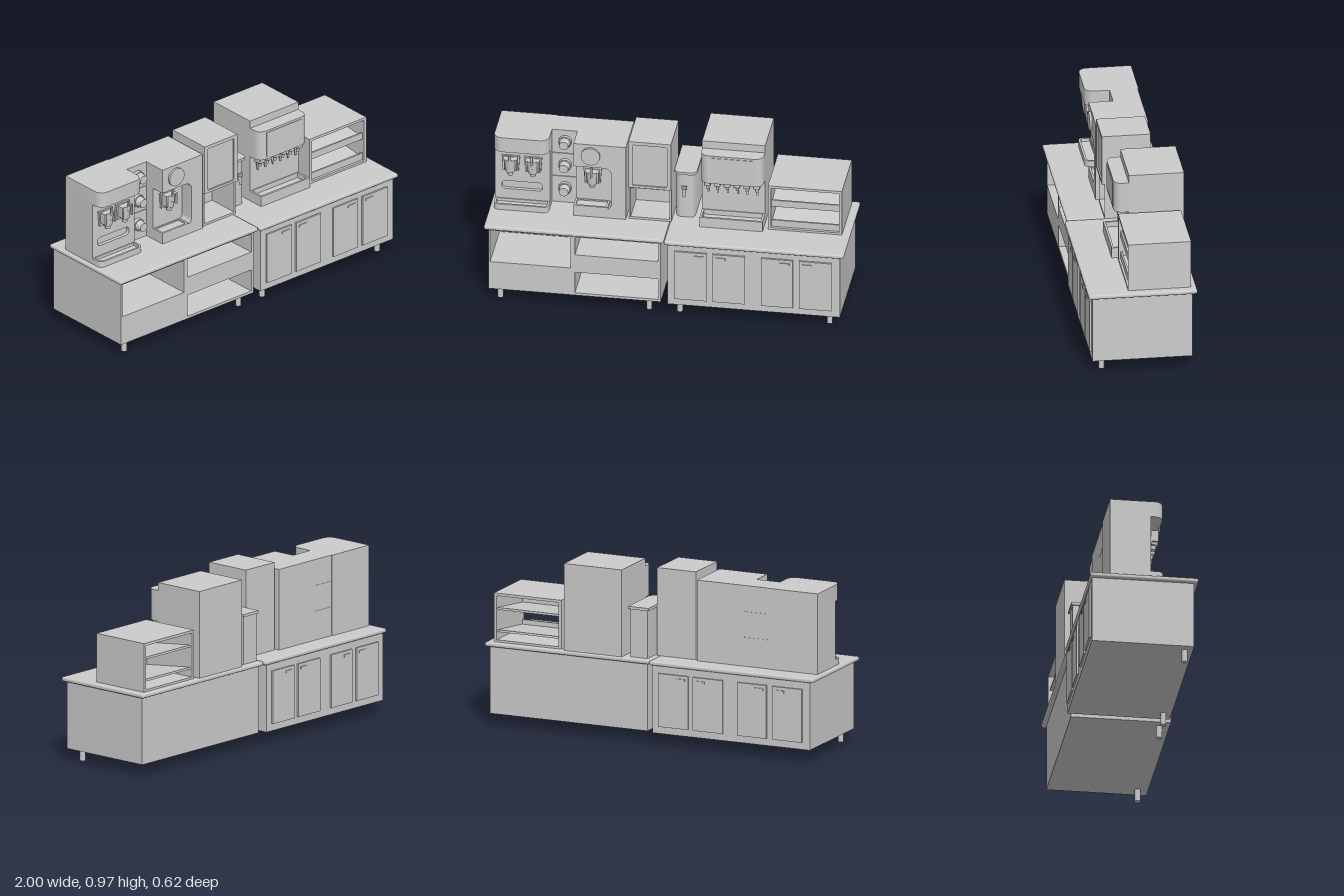
import * as THREE from 'three';
import { RoundedBoxGeometry } from 'three/addons/geometries/RoundedBoxGeometry.js';
import { toCreasedNormals } from 'three/addons/utils/BufferGeometryUtils.js';

const mat = new THREE.MeshStandardMaterial({ color: 0xcccccc });

function add(parent, name, geo, x = 0, y = 0, z = 0) {
  const m = new THREE.Mesh(geo, mat);
  m.name = name;
  m.position.set(x, y, z);
  parent.add(m);
  return m;
}

function group(parent, name) {
  const g = new THREE.Group();
  g.name = name;
  parent.add(g);
  return g;
}

// Box given by its bounds, optionally with rounded edges
function box(parent, name, x0, x1, y0, y1, z0, z1, r = 0) {
  const s = [x1 - x0, y1 - y0, z1 - z0];
  const geo = r ? new RoundedBoxGeometry(...s, 3, r) : new THREE.BoxGeometry(...s);
  return add(parent, name, geo, (x0 + x1) / 2, (y0 + y1) / 2, (z0 + z1) / 2);
}

// Rectangle path with separate corner radii at the left/right and bottom/top
function rect(Type, x0, x1, y0, y1, rBL = 0, rBR = rBL, rTR = rBL, rTL = rBL) {
  const p = new Type();
  p.moveTo(x0 + rBL, y0).lineTo(x1 - rBR, y0);
  if (rBR) p.absarc(x1 - rBR, y0 + rBR, rBR, -Math.PI / 2, 0);
  p.lineTo(x1, y1 - rTR);
  if (rTR) p.absarc(x1 - rTR, y1 - rTR, rTR, 0, Math.PI / 2);
  p.lineTo(x0 + rTL, y1);
  if (rTL) p.absarc(x0 + rTL, y1 - rTL, rTL, Math.PI / 2, Math.PI);
  p.lineTo(x0, y0 + rBL);
  if (rBL) p.absarc(x0 + rBL, y0 + rBL, rBL, Math.PI, Math.PI * 1.5);
  return p;
}

function extrude(shape, depth) {
  const geo = new THREE.ExtrudeGeometry(shape, { depth, bevelEnabled: false, curveSegments: 8 });
  return toCreasedNormals(geo, 0.6);
}

// Front-facing plate with holes, extruded along z
function plate(parent, name, shape, z0, z1, holes = []) {
  shape.holes.push(...holes);
  return add(parent, name, extrude(shape, z1 - z0), 0, 0, z0);
}

// Block with rounded front corners as seen from above
function roundFront(parent, name, x0, x1, y0, y1, z0, z1, r) {
  const geo = extrude(rect(THREE.Shape, x0, x1, -z1, -z0, r, r, 0, 0), y1 - y0);
  return add(parent, name, geo.rotateX(-Math.PI / 2), 0, y0, 0);
}

// Cylinder lying along z
function disc(parent, name, x, y, z0, z1, r, rBack = r) {
  const geo = new THREE.CylinderGeometry(r, rBack, z1 - z0, 24).rotateX(Math.PI / 2);
  return add(parent, name, geo, x, y, (z0 + z1) / 2);
}

// Four doors with recessed-looking pulls; dir is the facing along z
function doors(parent, z, dir) {
  [[0.06, 0.24, 1], [0.27, 0.45, -1], [0.54, 0.715, 1], [0.75, 0.93, -1]].forEach(([a, b, side]) => {
    const zz = (d) => [z + dir * d, z].sort((p, q) => p - q);
    const flip = (p, q) => (dir > 0 ? [p, q] : [-q, -p]);
    box(parent, 'door', ...flip(a, b), 0.11, 0.41, ...zz(0.01));
    const c = side > 0 ? b - 0.045 : a + 0.045;
    box(parent, 'doorPull', ...flip(c - 0.027, c + 0.027), 0.378, 0.392, ...zz(0.015));
  });
}

// Dispensing tap: tapered housing, spout and lever
function tap(parent, x, y, z) {
  const g = group(parent, 'tap');
  g.position.set(x, y, z);
  const s = new THREE.Shape();
  s.moveTo(-0.05, 0.05).lineTo(-0.043, -0.04).lineTo(0.043, -0.04).lineTo(0.05, 0.05);
  plate(g, 'tapPlate', s, 0, 0.012);
  add(g, 'tapHousing', new THREE.CylinderGeometry(0.036, 0.026, 0.08, 20), 0, 0.005, 0.024);
  add(g, 'spout', new THREE.CylinderGeometry(0.017, 0.014, 0.025, 16), 0, -0.045, 0.026);
  const lever = box(g, 'lever', -0.007, 0.007, 0.0, 0.085, 0.05, 0.06, 0.004);
  lever.rotation.x = 0.12;
  [-1, 1].forEach((k) => box(g, 'tapBracket', k * 0.034 - 0.005, k * 0.034 + 0.005, -0.02, 0.045, 0.01, 0.05));
}

// Shallow open tray
function tray(parent, x0, x1, y0, y1, z0, z1, r) {
  const geo = (() => {
    const s = rect(THREE.Shape, x0, x1, -z1, -z0, r, r, 0, 0);
    s.holes.push(rect(THREE.Path, x0 + 0.012, x1 - 0.012, -z1 + 0.012, -z0 - 0.005, r * 0.6, r * 0.6, 0, 0));
    return extrude(s, y1 - y0).rotateX(-Math.PI / 2);
  })();
  add(parent, 'trayRim', geo, 0, y0, 0);
  box(parent, 'trayFloor', x0 + 0.01, x1 - 0.01, y0, y0 + (y1 - y0) * 0.5, z0, z1 - 0.01);
}

export function createModel() {
  const root = new THREE.Group();
  root.name = 'beverageCounter';
  const T = 0.475; // worktop height

  // Right counter: doors face the front
  const rc = group(root, 'doorCounter');
  box(rc, 'cabinet', 0.02, 0.975, 0.07, 0.452, -0.27, 0.283);
  box(rc, 'worktop', 0.002, 0.998, 0.45, T, -0.295, 0.305, 0.01);
  doors(rc, 0.283, 1);

  // Left counter: open shelves at the front, doors at the back
  const lc = group(root, 'shelfCounter');
  box(lc, 'cabinetBack', -0.975, -0.02, 0.07, 0.452, -0.295, -0.06);
  plate(lc, 'cabinetFront', rect(THREE.Shape, -0.975, -0.02, 0.07, 0.452), -0.06, 0.27, [
    rect(THREE.Path, -0.965, -0.52, 0.24, 0.437),
    rect(THREE.Path, -0.495, -0.035, 0.325, 0.437),
    rect(THREE.Path, -0.495, -0.035, 0.085, 0.215),
  ]);
  box(lc, 'worktop', -0.998, -0.002, 0.45, T, -0.305, 0.292, 0.01);
  doors(lc, -0.295, -1);

  [-0.915, -0.09, 0.08, 0.91].forEach((x) =>
    add(root, 'leg', new THREE.CylinderGeometry(0.016, 0.016, 0.08, 16), x, 0.04, 0.225));

  // Twin-tap soft serve machine
  const a = group(root, 'twinTapMachine');
  box(a, 'body', -0.975, -0.67, T, 0.85, -0.195, 0.01);
  plate(a, 'frontPanel', rect(THREE.Shape, -0.975, -0.67, T, 0.85), 0.01, 0.03,
    [rect(THREE.Path, -0.938, -0.712, 0.57, 0.62, 0.02)]);
  roundFront(a, 'head', -0.975, -0.67, 0.84, 0.93, -0.195, 0.1, 0.05);
  tray(a, -0.975, -0.67, T, 0.51, 0.03, 0.1, 0.03);
  tap(a, -0.887, 0.735, 0.03);
  tap(a, -0.763, 0.735, 0.03);

  // Stacked unit with three round nozzles
  const c = group(root, 'nozzleStack');
  [[T, 0.638], [0.642, 0.783], [0.787, 0.93]].forEach(([y0, y1]) => {
    const y = (y0 + y1) / 2 + (y0 === T ? 0.012 : 0.003);
    box(c, 'module', -0.67, -0.53, y0, y1, -0.19, -0.035);
    disc(c, 'flange', -0.597, y, -0.035, -0.015, 0.036);
    disc(c, 'nozzle', -0.597, y, -0.015, 0.022, 0.025, 0.03);
  });
  box(c, 'stackCore', -0.669, -0.531, T, 0.928, -0.188, -0.04);

  // Single-tap machine with a bay open at one side
  const b = group(root, 'singleTapMachine');
  box(b, 'body', -0.53, -0.24, T, 0.93, -0.19, 0.02);
  const s = new THREE.Shape();
  s.moveTo(-0.53, T).lineTo(-0.24, T).lineTo(-0.24, 0.93).lineTo(-0.53, 0.93).lineTo(-0.53, 0.787);
  s.lineTo(-0.36, 0.787).absarc(-0.36, 0.747, 0.04, Math.PI / 2, 0, true);
  s.lineTo(-0.32, 0.565).absarc(-0.36, 0.565, 0.04, 0, -Math.PI / 2, true);
  s.lineTo(-0.53, 0.525);
  plate(b, 'frontSurround', s, 0.02, 0.1);
  disc(b, 'roundBadge', -0.435, 0.86, 0.1, 0.113, 0.053);
  tap(b, -0.435, 0.69, 0.02);
  tray(b, -0.53, -0.34, 0.525, 0.54, 0.022, 0.1, 0);

  // Tall cabinet: framed door above an open compartment
  const d = group(root, 'tallCabinet');
  box(d, 'back', -0.225, 0.01, T, 0.97, -0.17, -0.1);
  plate(d, 'shell', rect(THREE.Shape, -0.225, 0.01, T, 0.97), -0.1, 0.085,
    [rect(THREE.Path, -0.215, 0, 0.488, 0.67)]);
  plate(d, 'doorFrame', rect(THREE.Shape, -0.225, 0.01, 0.68, 0.97), 0.085, 0.1,
    [rect(THREE.Path, -0.203, -0.013, 0.695, 0.95, 0.006)]);
  box(d, 'doorPanel', -0.204, -0.012, 0.694, 0.951, 0.08, 0.092);

  // Slim urn with lid and tap
  const e = group(root, 'slimUrn');
  roundFront(e, 'body', 0.025, 0.13, T, 0.745, -0.26, 0.02, 0.03);
  roundFront(e, 'lid', 0.015, 0.14, 0.745, 0.76, -0.268, 0.03, 0.035);
  disc(e, 'tapStem', 0.075, 0.655, 0.02, 0.05, 0.01);
  add(e, 'tapSpout', new THREE.CylinderGeometry(0.011, 0.008, 0.05, 12), 0.075, 0.645, 0.05);
  box(e, 'tapHandle', 0.06, 0.09, 0.668, 0.682, 0.04, 0.052);

  // Fountain dispenser
  const f = group(root, 'fountainDispenser');
  box(f, 'body', 0.17, 0.52, T, 0.965, -0.285, 0.02);
  roundFront(f, 'head', 0.172, 0.518, 0.745, 0.92, 0.01, 0.1, 0.045);
  box(f, 'headPanel', 0.22, 0.47, 0.76, 0.908, 0.09, 0.103);
  tray(f, 0.17, 0.52, T, 0.535, 0.02, 0.115, 0);
  for (let i = 0; i < 6; i++) {
    const x = 0.208 + i * 0.0545;
    box(f, 'valve', x - 0.018, x + 0.018, 0.715, 0.746, 0.03, 0.08, 0.004);
    add(f, 'valveNozzle', new THREE.CylinderGeometry(0.012, 0.008, 0.025, 12), x, 0.705, 0.06);
    const lever = box(f, 'valveLever', x - 0.005, x + 0.005, 0.66, 0.725, 0.034, 0.04);
    lever.rotation.x = -0.2;
  }

  // Display case, open front and back, with sloping shelves
  const g = group(root, 'displayCase');
  plate(g, 'shell', rect(THREE.Shape, 0.545, 0.955, T, 0.75), -0.265, 0.083,
    [rect(THREE.Path, 0.562, 0.938, 0.487, 0.735)]);
  [0.49, 0.615].forEach((y) => {
    const shelf = box(g, 'shelf', 0.562, 0.938, y + 0.02, y + 0.032, -0.255, 0.07);
    shelf.rotation.x = 0.12;
    box(g, 'shelfLip', 0.562, 0.938, y, y + 0.04, 0.062, 0.072);
  });
  return root;
}
